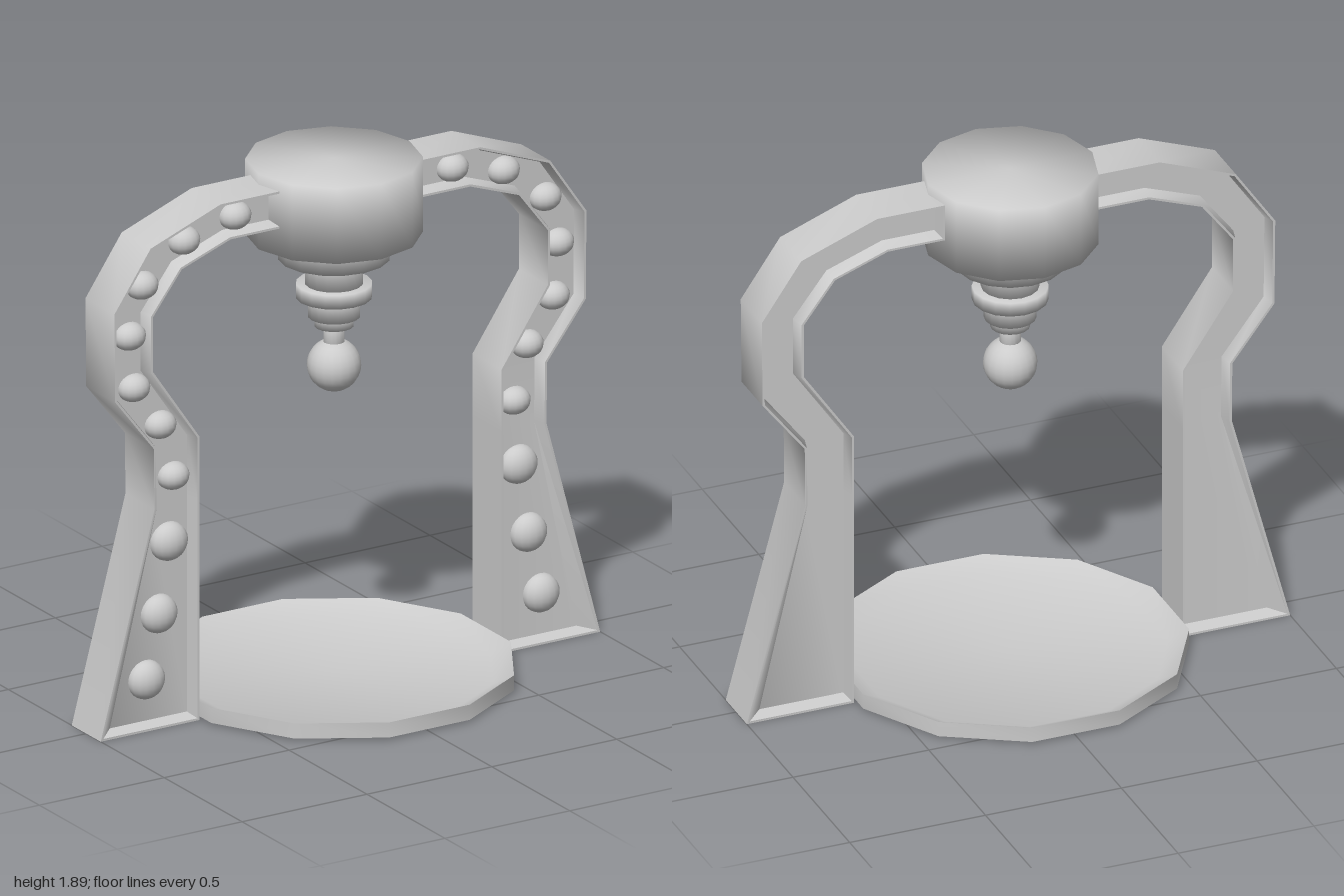
import * as THREE from 'three';
import { toCreasedNormals } from 'three/addons/utils/BufferGeometryUtils.js';

const material = new THREE.MeshStandardMaterial({ color: 0xcccccc });

function addMesh(parent, name, geometry) {
  const mesh = new THREE.Mesh(geometry, material);
  mesh.name = name;
  parent.add(mesh);
  return mesh;
}

const lathe = (points, sides, phase = 0) =>
  new THREE.LatheGeometry(points.map(([r, y]) => new THREE.Vector2(r, y)), sides, phase);

// Arm outline as matching outer and inner edges, from foot to hub
const OUTER = [[1, 0], [0.785, 0.8], [0.787, 1.02], [0.942, 1.22], [0.945, 1.54], [0.8, 1.75], [0.52, 1.855], [0.27, 1.855]];
const INNER = [[0.605, 0], [0.605, 0.8], [0.605, 1.03], [0.79, 1.3], [0.79, 1.5], [0.675, 1.65], [0.48, 1.72], [0.27, 1.72]];

// Shrinks a counter-clockwise loop with mitred corners
function insetLoop(loop, d) {
  const n = loop.length;
  return loop.map((p, i) => {
    const u = p.clone().sub(loop[(i + n - 1) % n]).normalize();
    const v = loop[(i + 1) % n].clone().sub(p).normalize();
    const m = new THREE.Vector2(-u.y - v.y, u.x + v.x);
    return p.clone().addScaledVector(m, d / (1 + u.dot(v)));
  });
}

// Arm with a raised rim and a sunken panel on both faces
function armGeometry() {
  const loop = [...OUTER, ...INNER.slice().reverse()].map(([x, y]) => new THREE.Vector2(x, y));
  const n = loop.length;
  const rings = [[0.02, -0.045], [0.008, -0.093], [0, -0.093], [0, 0.093], [0.008, 0.093], [0.02, 0.045]];
  const positions = [];
  const index = [];
  for (const [d, z] of rings) {
    insetLoop(loop, d).forEach((p, i) => {
      // the rim widens towards the outer corner of the foot
      const widen = i === 0 && d > 0.01 ? 0.04 : 0;
      positions.push(p.x - widen, p.y, z);
    });
  }
  const quad = (a, b, c, d) => index.push(a, b, c, a, c, d);
  for (let r = 0; r < rings.length - 1; r++) {
    for (let j = 0; j < n; j++) {
      const k = (j + 1) % n;
      quad(r * n + j, r * n + k, (r + 1) * n + k, (r + 1) * n + j);
    }
  }
  // panel floors
  const f = (rings.length - 1) * n;
  for (let i = 0; i < OUTER.length - 1; i++) {
    quad(f + i, f + i + 1, f + n - 2 - i, f + n - 1 - i);
    quad(n - 1 - i, n - 2 - i, i + 1, i);
  }
  const g = new THREE.BufferGeometry();
  g.setAttribute('position', new THREE.Float32BufferAttribute(positions, 3));
  g.setIndex(index);
  return toCreasedNormals(g, 0.8);
}

// Stud centres along one arm: x, y, horizontal and vertical radius
const STUDS = [
  [0.79, 0.17, 0.07, 0.07], [0.74, 0.4, 0.07, 0.07], [0.7, 0.655, 0.072, 0.07],
  [0.683, 0.89, 0.06, 0.05], [0.735, 1.085, 0.06, 0.05], [0.84, 1.24, 0.06, 0.05],
  [0.857, 1.43, 0.06, 0.05], [0.807, 1.605, 0.06, 0.05], [0.64, 1.735, 0.06, 0.05], [0.435, 1.785, 0.06, 0.05],
];

export function createModel() {
  const model = new THREE.Group();
  model.name = 'archStand';

  // Base plate: twelve sides, rim sloping in to a sunken floor
  const plate = lathe([[0, 0.01], [0.621, 0.01], [0.621, 0.065], [0.55, 0.03], [0, 0.03]], 12, Math.PI / 12);
  addMesh(model, 'basePlate', toCreasedNormals(plate, 0.54));

  // Arms and the studs set into their front panels
  const arm = armGeometry();
  const ball = new THREE.SphereGeometry(1, 16, 12);
  for (const side of [1, -1]) {
    const group = new THREE.Group();
    group.name = side > 0 ? 'leftArm' : 'rightArm';
    addMesh(group, 'armFrame', arm).rotation.y = side > 0 ? 0 : Math.PI;
    for (const [x, y, rx, ry] of STUDS) {
      const stud = addMesh(group, 'stud', ball);
      stud.position.set(side * x, y, 0.045);
      stud.scale.set(rx, ry, 0.055);
    }
    model.add(group);
  }

  // Hub with stepped nozzle and ball tip
  const head = new THREE.Group();
  head.name = 'head';
  head.position.x = -0.008;
  addMesh(head, 'hub', lathe([[0, 1.62], [0.302, 1.62], [0.302, 1.893], [0, 1.893]], 12));
  const steps = [
    [0.193, 1.535, 1.63], [0.1, 1.43, 1.54], [0.131, 1.39, 1.44],
    [0.09, 1.32, 1.4], [0.068, 1.285, 1.33], [0.037, 1.2, 1.29],
  ];
  for (const [r, y0, y1] of steps) {
    addMesh(head, 'nozzleStep', lathe([[0, y0], [r, y0], [r, y1], [0, y1]], 16));
  }
  addMesh(head, 'ballTip', new THREE.SphereGeometry(0.093, 20, 14)).position.y = 1.143;
  model.add(head);

  return model;
}
